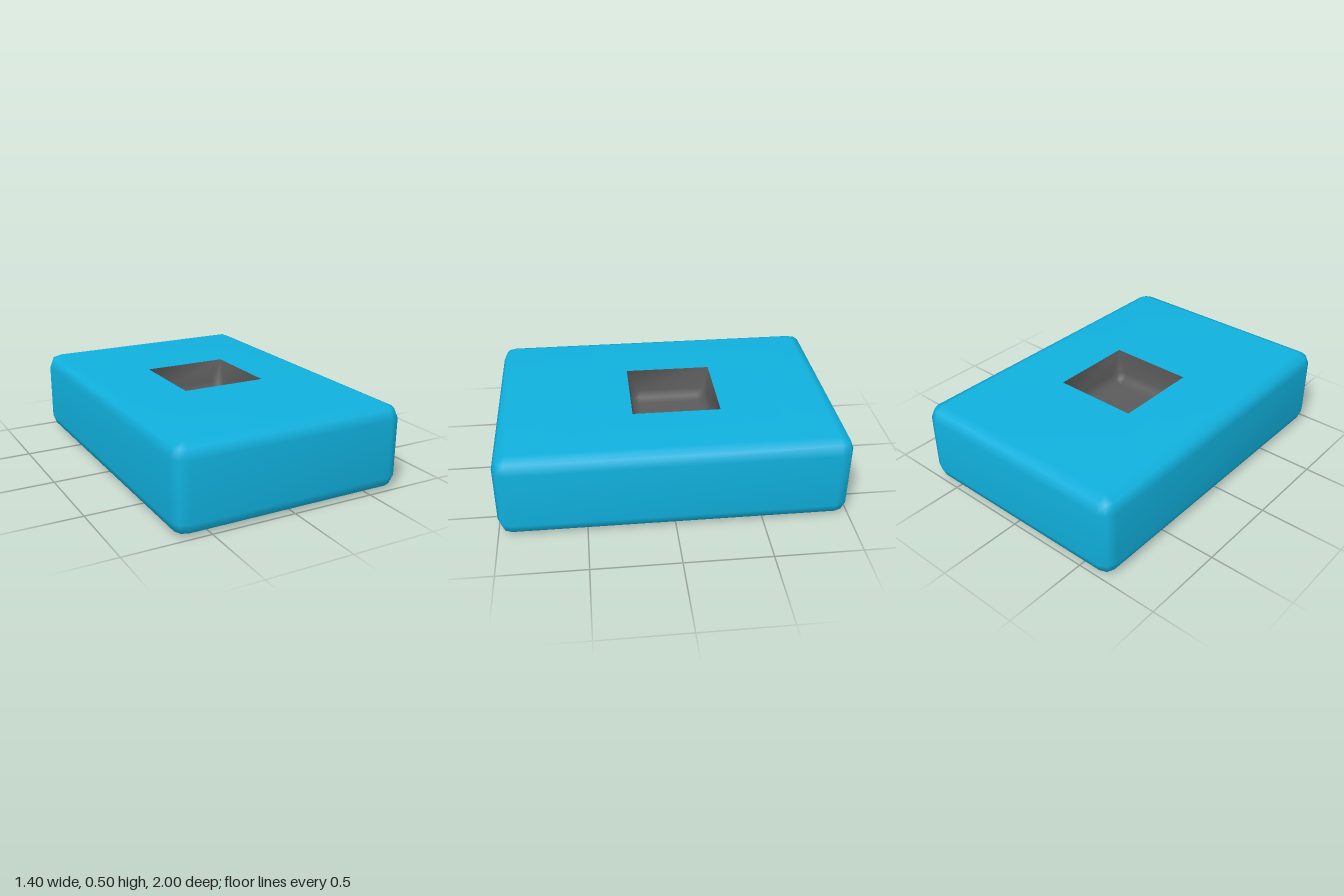
import * as THREE from 'three';
import { mergeVertices } from 'three/addons/utils/BufferGeometryUtils.js';

// One rounded-rectangle loop at height y: core half sizes hx, hz grown by corner radius r
function ring(cx, cz, hx, hz, r, y, steps = 2) {
  const pts = [];
  [[1, 1], [-1, 1], [-1, -1], [1, -1]].forEach(([sx, sz], q) => {
    for (let i = 0; i <= steps; i++) {
      const t = (q + i / steps) * Math.PI / 2;
      pts.push([cx + sx * hx + r * Math.cos(t), y, cz + sz * hz + r * Math.sin(t)]);
    }
  });
  return pts;
}

// Skin consecutive loops; shared vertices give smooth normals
function loft(rings) {
  const n = rings[0].length, index = [];
  for (let i = 0; i < rings.length - 1; i++) {
    for (let j = 0; j < n; j++) {
      const k = (j + 1) % n;
      const a = i * n + j, b = i * n + k, c = a + n, d = b + n;
      index.push(a, c, b, b, c, d);
    }
  }
  let geo = new THREE.BufferGeometry();
  geo.setAttribute('position', new THREE.Float32BufferAttribute(rings.flat(2), 3));
  geo.setIndex(index);
  geo = mergeVertices(geo);
  geo.computeVertexNormals();
  return geo;
}

function part(name, geo, color) {
  const mesh = new THREE.Mesh(geo, new THREE.MeshStandardMaterial({ color }));
  mesh.name = name;
  return mesh;
}

export function createModel() {
  const group = new THREE.Group();
  group.name = 'hollowedBlock';

  const W = 0.7, D = 1, H = 0.5, R = 0.08;   // half width, half depth, height, edge radius
  const px = 0.008, pz = -0.048, half = 0.257; // pit centre and half opening
  const depth = 0.2, pr = 0.06;

  // Block: bottom, rounded sides, then top face in to the pit opening
  const shell = [ring(0, 0, 0, 0, 0, 0)];
  const arc = [0, 1, 2].map(i => i * Math.PI / 4);
  arc.forEach(a => shell.push(ring(0, 0, W - R, D - R, R * Math.sin(a), R * (1 - Math.cos(a)))));
  arc.forEach(a => shell.push(ring(0, 0, W - R, D - R, R * Math.cos(a), H - R * (1 - Math.sin(a)))));
  shell.push(ring(px, pz, half, half, 0, H));
  group.add(part('block', loft(shell), 0x10b0dd));

  // Pit: walls narrowing slightly to a floor with rounded edges
  const pit = [ring(px, pz, half, half, 0, H)];
  const core = 0.185;
  arc.forEach(a => pit.push(
    ring(px, pz, core, core, pr * Math.cos(a), H - depth + pr * (1 - Math.sin(a)))));
  pit.push(ring(px, pz, 0, 0, 0, H - depth));
  group.add(part('pit', loft(pit), 0x5a5a5a));

  return group;
}
